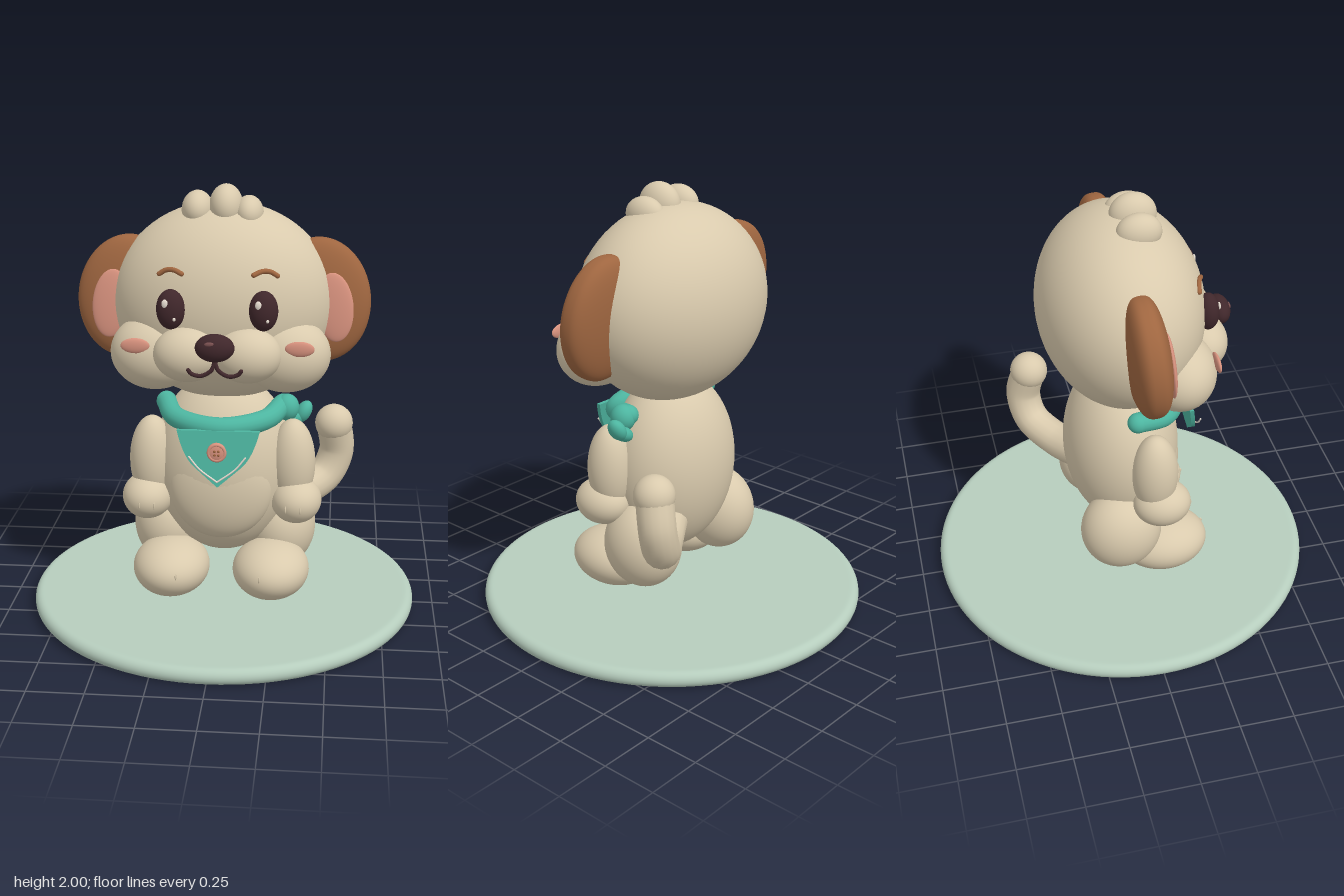
import * as THREE from 'three';

const mat = (name, color) => {
  const m = new THREE.MeshStandardMaterial({ color });
  m.name = name;
  return m;
};

export function createModel() {
  const cream = mat('cream fur', 0xd9caad);
  const brown = mat('brown ear', 0x9f6640);
  const pink = mat('pink skin', 0xd9937f);
  const dark = mat('dark nose', 0x40272b);
  const teal = mat('teal cloth', 0x4db5a0);
  const sage = mat('sage base', 0xb6cdbd);
  const white = mat('highlight', 0xf3e9dc);
  const noseShine = mat('nose shine', 0x7a5050);

  const model = new THREE.Group();
  model.name = 'puppy';

  const add = (name, geo, material, parent = model) => {
    const mesh = new THREE.Mesh(geo, material);
    mesh.name = name;
    parent.add(mesh);
    return mesh;
  };
  // Ellipsoid from centre and radii
  const blob = (name, material, c, r, parent = model) => {
    const detail = Math.max(...r) > 0.1 ? [56, 36] : [28, 18];
    const mesh = add(name, new THREE.SphereGeometry(1, ...detail), material, parent);
    mesh.position.set(...c);
    mesh.scale.set(...r);
    return mesh;
  };
  // Round tube through points, with ball ends
  const tube = (name, material, pts, r, segs = 24) => {
    const v = pts.map((p) => new THREE.Vector3(...p));
    add(name, new THREE.TubeGeometry(new THREE.CatmullRomCurve3(v), segs, r, 16), material);
    [pts[0], pts[pts.length - 1]].forEach((p) => blob(name + 'End', material, p, [r, r, r]));
  };
  const bothSides = (build) => [1, -1].forEach(build);

  // Round stand with a rolled edge
  const R = 0.904, H = 0.075, edge = H / 2;
  const rim = [new THREE.Vector2(0, 0), new THREE.Vector2(R - edge - 0.01, 0)];
  for (let i = 0; i <= 12; i++) {
    const a = -Math.PI / 2 + (Math.PI * i) / 12;
    rim.push(new THREE.Vector2(R - edge + edge * Math.cos(a), edge + edge * Math.sin(a)));
  }
  rim.push(new THREE.Vector2(R - edge - 0.01, H), new THREE.Vector2(0, H));
  add('stand', new THREE.LatheGeometry(rim, 96), sage);

  // Torso and tummy
  blob('torso', cream, [0, 0.69, 0], [0.33, 0.43, 0.27]);
  blob('tummy', cream, [0, 0.63, 0.16], [0.24, 0.257, 0.11]);

  // Head, cheeks, muzzle
  const headC = [0, 1.465, -0.005], headR = [0.505, 0.45, 0.372];
  const headZ = (x, y) =>
    headC[2] + headR[2] * Math.sqrt(1 - (x / headR[0]) ** 2 - ((y - headC[1]) / headR[1]) ** 2);
  blob('head', cream, headC, headR);

  // Hair tufts
  blob('middleTuft', cream, [0.015, 1.9, 0.058], [0.075, 0.1, 0.105]);
  blob('rightTuft', cream, [-0.112, 1.885, 0.055], [0.07, 0.085, 0.1]);
  blob('leftTuft', cream, [0.115, 1.87, 0.055], [0.066, 0.08, 0.1]);

  // Ear: a thick disc with full, rounded sides
  const earGeo = new THREE.SphereGeometry(1, 64, 48);
  const p = earGeo.attributes.position;
  for (let i = 0; i < p.count; i++) {
    const z = p.getZ(i);
    p.setZ(i, Math.sign(z) * Math.abs(z) ** 0.7);
  }
  earGeo.scale(0.225, 0.28, 0.095);
  earGeo.computeVertexNormals();

  bothSides((s) => {
    blob('cheek', cream, [s * 0.29, 1.27, 0.19], [0.2, 0.17, 0.17]);
    blob('muzzle', cream, [s * 0.13, 1.3, 0.335], [0.15, 0.122, 0.122]);
    blob('blush', pink, [s * 0.357, 1.335, 0.347], [0.064, 0.034, 0.013]);

    // Ears
    const ear = new THREE.Group();
    ear.name = 'ear';
    ear.position.set(s * 0.437, 1.48, 0.01);
    ear.rotation.set(-0.08, 0, s * 0.1);
    model.add(ear);
    const outer = add('outerEar', earGeo, brown, ear);
    if (s < 0) outer.rotation.y = Math.PI;
    blob('innerEar', pink, [s * 0.06, -0.03, 0.085], [0.085, 0.155, 0.02], ear);

    // Eyes and brows
    blob('eye', dark, [s * 0.2, 1.5, 0.345], [0.063, 0.088, 0.05]);
    blob('eyeHighlight', white, [s * 0.2 - 0.02, 1.533, 0.388], [0.014, 0.019, 0.007]);
    blob('eyeSparkle', white, [s * 0.2 + 0.02, 1.465, 0.389], [0.007, 0.008, 0.005]);
    tube('brow', brown, [[0.255, 1.642], [0.225, 1.66], [0.19, 1.663], [0.155, 1.65]]
      .map(([x, y]) => [s * x, y, headZ(x, y) + 0.005]), 0.011, 12);

    // Mouth line
    tube('mouth', dark, [[0, 1.3, 0.45], [0.015, 1.262, 0.452], [0.06, 1.236, 0.45],
      [0.1, 1.246, 0.455], [0.113, 1.262, 0.457]].map(([x, y, z]) => [s * x, y, z]), 0.009);

    // Arms and paws
    blob('arm', cream, [s * 0.325, 0.725, 0.088], [0.105, 0.21, 0.107]);
    blob('paw', cream, [s * 0.345, 0.557, 0.12], [0.117, 0.107, 0.135]);
    [0.3, 0.368].forEach((x) => blob('pawCrease', cream, [s * x, 0.55, 0.247], [0.004, 0.018, 0.008]));

    // Hind legs
    blob('thigh', cream, [s * 0.268, 0.365, -0.057], [0.165, 0.205, 0.192]);
    blob('foot', cream, [s * 0.233, 0.224, 0.155], [0.178, 0.134, 0.215]);
    blob('footCrease', cream, [s * 0.19, 0.25, 0.36], [0.004, 0.015, 0.008]);
  });

  // Nose
  blob('nose', dark, [0, 1.362, 0.457], [0.085, 0.061, 0.052]);
  blob('noseShine', noseShine, [-0.018, 1.388, 0.5], [0.022, 0.01, 0.006]);

  // Tail curling up on the left
  tube('tail', cream, [[0.18, 0.47, -0.14], [0.34, 0.455, -0.25], [0.47, 0.51, -0.35],
    [0.525, 0.63, -0.378], [0.51, 0.78, -0.347]], 0.085, 40);
  blob('tailTip', cream, [0.51, 0.78, -0.347], [0.092, 0.092, 0.092]);

  // Scarf roll round the front of the neck, with a side knot
  tube('scarf', teal, [[-0.265, 0.985, 0.02], [-0.2, 0.955, 0.17], [0, 0.94, 0.258],
    [0.2, 0.955, 0.17], [0.275, 0.985, 0.02]], 0.047, 48);
  blob('scarfKnot', teal, [0.295, 0.975, 0.035], [0.055, 0.062, 0.06]);
  const ends = [[[0.37, 0.945, 0.0], 0.5], [[0.33, 0.915, 0.005], 1.0]];
  ends.forEach(([c, tilt]) => {
    blob('scarfEnd', teal, c, [0.035, 0.055, 0.045]).rotation.z = -tilt;
  });

  // Bandana flap, leaning outward towards its tip
  const flap = new THREE.Shape();
  flap.moveTo(-0.185, 0.94);
  flap.quadraticCurveTo(-0.155, 0.82, -0.1, 0.775);
  flap.lineTo(0, 0.69);
  flap.lineTo(0.1, 0.775);
  flap.quadraticCurveTo(0.155, 0.82, 0.185, 0.94);
  const flapGeo = new THREE.ExtrudeGeometry(flap, { depth: 0.02, bevelEnabled: false });
  const f = flapGeo.attributes.position;
  for (let i = 0; i < f.count; i++) f.setZ(i, f.getZ(i) + 0.287 + (0.94 - f.getY(i)) * 0.18);
  flapGeo.computeVertexNormals();
  add('bandana', flapGeo, teal);
  bothSides((s) => tube('bandanaTrim', white,
    [[s * 0.125, 0.835, 0.358], [s * 0.08, 0.78, 0.361], [0, 0.72, 0.364]], 0.004, 12));

  // Button with rim and four holes
  blob('button', pink, [0, 0.862, 0.37], [0.043, 0.046, 0.014]);
  add('buttonRim', new THREE.TorusGeometry(0.036, 0.008, 12, 36), pink).position.set(0, 0.862, 0.374);
  for (let i = 0; i < 4; i++) {
    const a = Math.PI / 4 + (i * Math.PI) / 2;
    blob('buttonHole', brown,
      [0.012 * Math.cos(a), 0.862 + 0.012 * Math.sin(a), 0.383], [0.006, 0.006, 0.003]);
  }

  return model;
}
